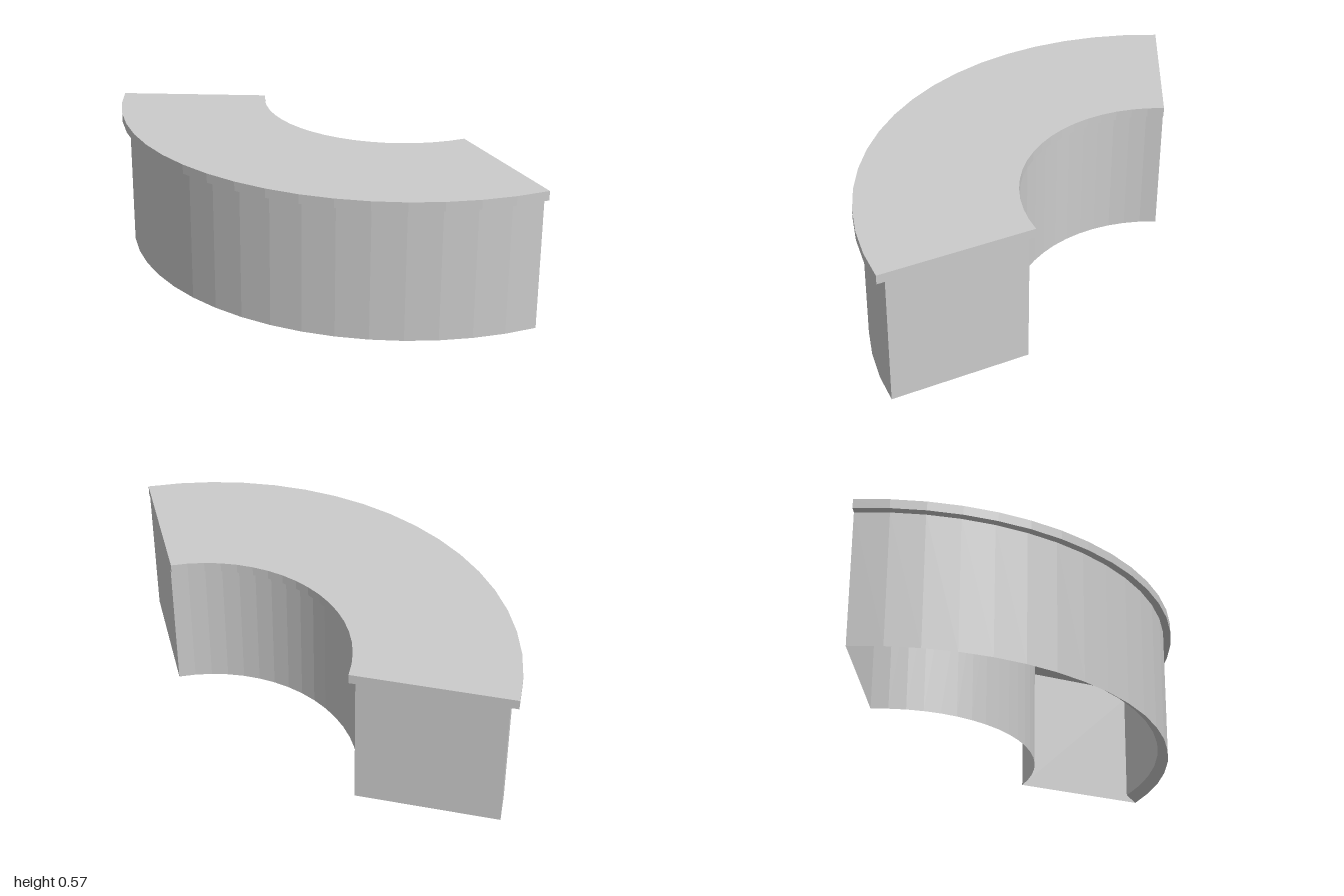
import * as THREE from 'three';

const HALF = Math.atan2(1, 0.603); // half of the arc's opening angle
const SEGMENTS = 18;
const CENTRE_Z = -0.729;
const material = new THREE.MeshStandardMaterial({
  color: 0xcccccc, flatShading: true, side: THREE.DoubleSide,
});

// Sweep a [radius, height] profile along the arc
function arcSweep(name, profile) {
  const points = profile.map(([r, y]) => new THREE.Vector2(r, y));
  const mesh = new THREE.Mesh(
    new THREE.LatheGeometry(points, SEGMENTS, -HALF, 2 * HALF), material);
  mesh.name = name;
  return mesh;
}

// Flat panel closing one end of the arc
function endPanel(name, profile, angle) {
  const shape = new THREE.Shape(profile.map(([r, y]) => new THREE.Vector2(r, y)));
  const mesh = new THREE.Mesh(new THREE.ShapeGeometry(shape), material);
  mesh.rotation.y = angle - Math.PI / 2;
  mesh.name = name;
  return mesh;
}

const rectangle = (r0, r1, y0, y1) => [[r0, y0], [r1, y0], [r1, y1], [r0, y1]];

export function createModel() {
  const model = new THREE.Group();
  model.name = 'curvedCounter';

  const bodyIn = 0.588, bodyOut = 1.1375, under = 0.533, top = 0.57;
  const body = rectangle(bodyIn, bodyOut, 0, under);
  const slab = rectangle(0.563, 1.168, under, top);

  // Counter top overhanging both curved walls
  model.add(arcSweep('counterTop', [...slab, slab[0]]));

  // Hollow body, open below
  model.add(arcSweep('outerWall', [[bodyOut, 0], [bodyOut, under]]));
  model.add(arcSweep('innerWall', [[bodyIn, under], [bodyIn, 0]]));

  // Lining of the outer wall with a sloped lower edge
  model.add(arcSweep('outerWallLining',
    [[1.096, under], [1.096, 0.03], [bodyOut, 0]]));

  // Ends of the arc
  for (const [side, angle] of [['left', HALF], ['right', -HALF]]) {
    model.add(endPanel(side + 'EndPanel', body, angle));
    model.add(endPanel(side + 'TopEnd', slab, angle));
  }

  model.children.forEach((part) => { part.position.z = CENTRE_Z; });
  return model;
}
